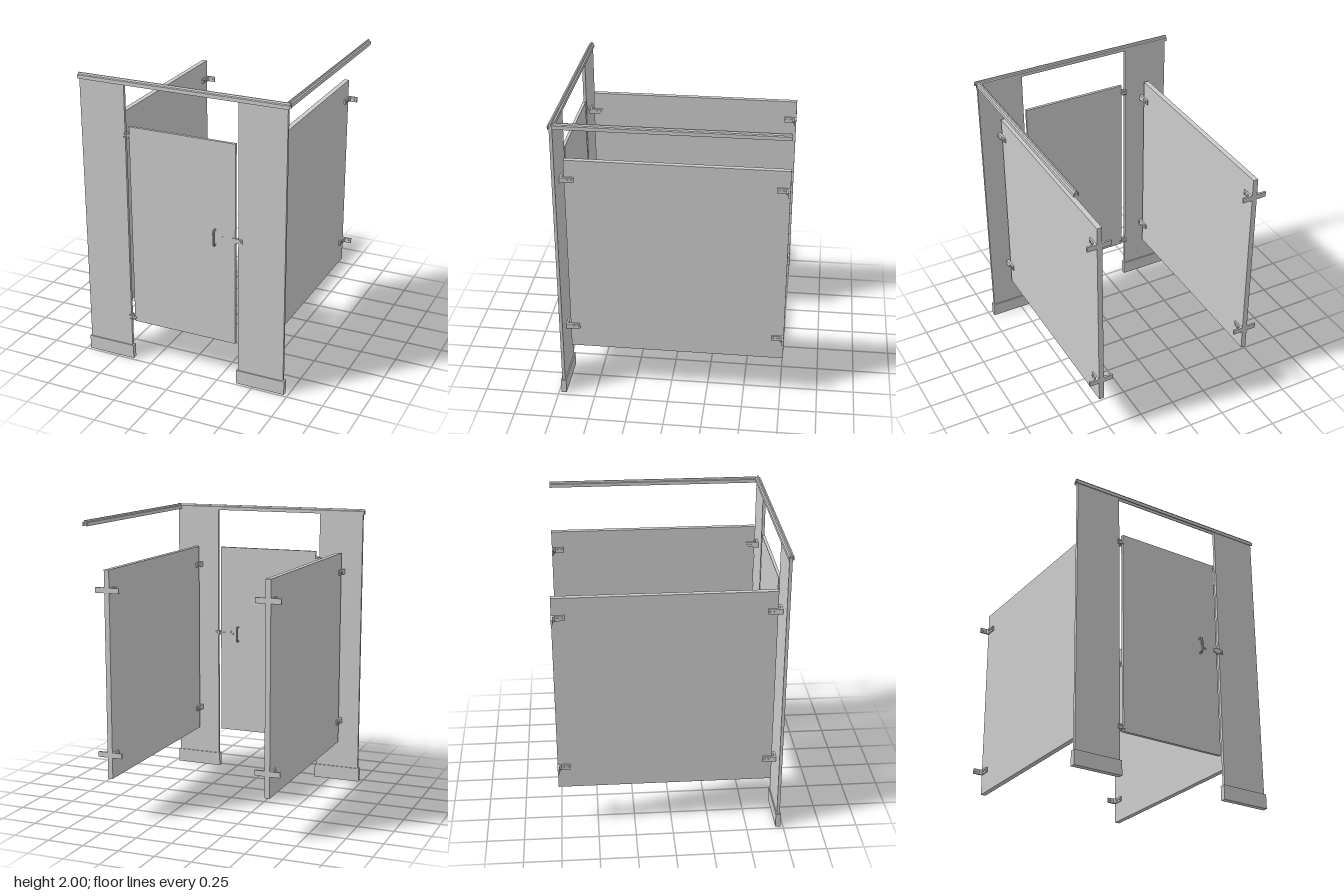
import * as THREE from 'three';

const grey = new THREE.MeshStandardMaterial({ color: 0xcccccc, flatShading: true, side: THREE.DoubleSide });
const Z = 0.716; // centre plane of the front wall

function add(parent, name, geometry, x = 0, y = 0, z = 0) {
  const mesh = new THREE.Mesh(geometry, grey);
  mesh.name = name;
  mesh.position.set(x, y, z);
  parent.add(mesh);
  return mesh;
}

// Box given by its limits on each axis
function box(parent, name, [x0, x1], [y0, y1], [z0, z1]) {
  return add(parent, name, new THREE.BoxGeometry(x1 - x0, y1 - y0, z1 - z0),
    (x0 + x1) / 2, (y0 + y1) / 2, (z0 + z1) / 2);
}

function shapeOf(points) {
  return new THREE.Shape(points.map(([x, y]) => new THREE.Vector2(x, y)));
}

// Horizontal plate from a plan outline of [x, z] points
function plan(parent, name, points, y0, y1) {
  const geometry = new THREE.ExtrudeGeometry(shapeOf(points), { depth: y1 - y0, bevelEnabled: false });
  geometry.rotateX(Math.PI / 2);
  return add(parent, name, geometry, 0, y1, 0);
}

// Round bolt head lying along x or z
function bolt(parent, axis, x, y, z, radius = 0.007, length = 0.006) {
  const geometry = new THREE.CylinderGeometry(radius, radius, length, 12);
  if (axis === 'x') geometry.rotateZ(Math.PI / 2);
  else geometry.rotateX(Math.PI / 2);
  return add(parent, 'bolt', geometry, x, y, z);
}

// Open-bottomed channel with a ridge along the top
function railGeometry(length) {
  const outer = [[-0.0175, 1.962], [-0.0175, 1.986], [-0.008, 1.99], [-0.004, 2],
    [0.004, 2], [0.008, 1.99], [0.0175, 1.986], [0.0175, 1.962]];
  const inner = [[0.0125, 1.962], [0.0125, 1.982], [-0.0125, 1.982], [-0.0125, 1.962]];
  return new THREE.ExtrudeGeometry(shapeOf([...outer, ...inner]), { depth: length, bevelEnabled: false });
}

// Pair of flanged brackets holding the panel to the rear wall
function rearBracket(y) {
  const group = new THREE.Group();
  group.name = 'rearBracket';
  for (const s of [-1, 1]) {
    plan(group, 'angle', [[s * 0.0175, -0.675], [s * 0.028, -0.675], [s * 0.028, -0.735],
      [s * 0.04, -0.748], [s * 0.085, -0.748], [s * 0.085, -0.76], [s * 0.0175, -0.76]], y - 0.018, y + 0.018);
    bolt(group, 'x', s * 0.031, y, -0.69);
    bolt(group, 'x', s * 0.031, y, -0.72);
    bolt(group, 'z', s * 0.065, y, -0.745);
  }
  return group;
}

// Flared bracket joining the panel to the pilaster
function frontBracket(y) {
  const group = new THREE.Group();
  group.name = 'frontBracket';
  for (const s of [-1, 1]) {
    plan(group, 'leg', [[s * 0.0175, 0.615], [s * 0.026, 0.615], [s * 0.03, 0.65],
      [s * 0.037, 0.706], [s * 0.0175, 0.706]], y - 0.018, y + 0.018);
    bolt(group, 'x', s * 0.031, y, 0.63);
    bolt(group, 'x', s * 0.033, y, 0.655);
  }
  box(group, 'base', [-0.037, 0.037], [y - 0.018, y + 0.018], [0.695, 0.706]);
  return group;
}

function hinge(y) {
  const group = new THREE.Group();
  group.name = 'hinge';
  box(group, 'leaf', [-0.412, -0.388], [y - 0.016, y + 0.016], [Z - 0.016, Z + 0.016]);
  add(group, 'pivot', new THREE.CylinderGeometry(0.008, 0.008, 0.044, 12), -0.384, y, Z);
  box(group, 'arm', [-0.388, -0.358], [y - 0.007, y + 0.007], [Z - 0.013, Z + 0.013]);
  for (const s of [-1, 1]) for (const dy of [-0.01, 0.01]) bolt(group, 'z', -0.402, y + dy, Z + s * 0.017, 0.006);
  return group;
}

export function createModel() {
  const model = new THREE.Group();
  model.name = 'cubicle';

  // Pilasters with their floor shoes
  for (const [side, x0, x1] of [['right', -0.717, -0.398], ['left', 0.392, 0.713]]) {
    box(model, side + 'Pilaster', [x0, x1], [0.005, 1.975], [Z - 0.01, Z + 0.01]);
    box(model, side + 'Shoe', [x0 - 0.01, x1 + 0.01], [0, 0.098], [Z - 0.0175, Z + 0.0175]);
  }

  // Door with hinges
  const door = new THREE.Group();
  door.name = 'door';
  model.add(door);
  box(door, 'doorPanel', [-0.37, 0.371], [0.293, 1.688], [Z - 0.01, Z + 0.01]);
  door.add(hinge(1.628), hinge(0.318));

  // Pull handles on both faces
  for (const s of [-1, 1]) {
    const path = new THREE.CurvePath();
    const p = [[0.985, 0.008], [0.985, 0.032], [0.993, 0.039], [1.081, 0.039], [1.089, 0.032], [1.089, 0.008]]
      .map(([y, d]) => new THREE.Vector3(0.232, y, Z + s * d));
    for (let i = 0; i < p.length - 1; i++) path.add(new THREE.LineCurve3(p[i], p[i + 1]));
    add(door, 'handle', new THREE.TubeGeometry(path, 40, 0.007, 8));
  }

  // Latch: indicator outside, slide bolt inside
  bolt(door, 'z', 0.278, 1.038, Z + 0.011, 0.013, 0.004);
  box(door, 'latchTurn', [0.274, 0.282], [1.028, 1.048], [Z + 0.01, Z + 0.015]);
  box(door, 'latchPlate', [0.262, 0.3], [1.02, 1.056], [Z - 0.014, Z - 0.01]);
  box(door, 'latchBolt', [0.27, 0.36], [1.031, 1.045], [Z - 0.018, Z - 0.012]);

  // Keeper and door stop wrapping the pilaster edge
  const keeper = new THREE.Group();
  keeper.name = 'keeper';
  model.add(keeper);
  const outline = new THREE.Shape();
  outline.moveTo(0.42, 1.024);
  outline.lineTo(0.42, 1.052);
  outline.lineTo(0.362, 1.056);
  outline.absarc(0.362, 1.038, 0.018, Math.PI / 2, Math.PI * 1.5, false);
  add(keeper, 'stop', new THREE.ExtrudeGeometry(outline, { depth: 0.007, bevelEnabled: false }), 0, 0, Z + 0.01);
  box(keeper, 'bridge', [0.381, 0.392], [1.024, 1.052], [Z - 0.016, Z + 0.012]);
  box(keeper, 'backPlate', [0.381, 0.42], [1.024, 1.052], [Z - 0.017, Z - 0.01]);
  for (const s of [-1, 1]) bolt(keeper, 'z', 0.406, 1.038, Z + s * 0.018);

  // Side partitions with brackets at both ends
  for (const [side, x] of [['right', -0.555], ['left', 0.555]]) {
    const partition = new THREE.Group();
    partition.name = side + 'Partition';
    partition.position.x = x;
    box(partition, 'panel', [-0.0175, 0.0175], [0.293, 1.688], [-0.76, 0.678]);
    for (const y of [0.453, 1.553]) partition.add(rearBracket(y), frontBracket(y));
    model.add(partition);
  }

  // Head rails along the front and back to the wall
  add(model, 'frontRail', railGeometry(1.452), -0.727, 0, Z).rotation.y = Math.PI / 2;
  add(model, 'sideRail', railGeometry(1.46), 0.702, 0, -0.76);

  return model;
}
